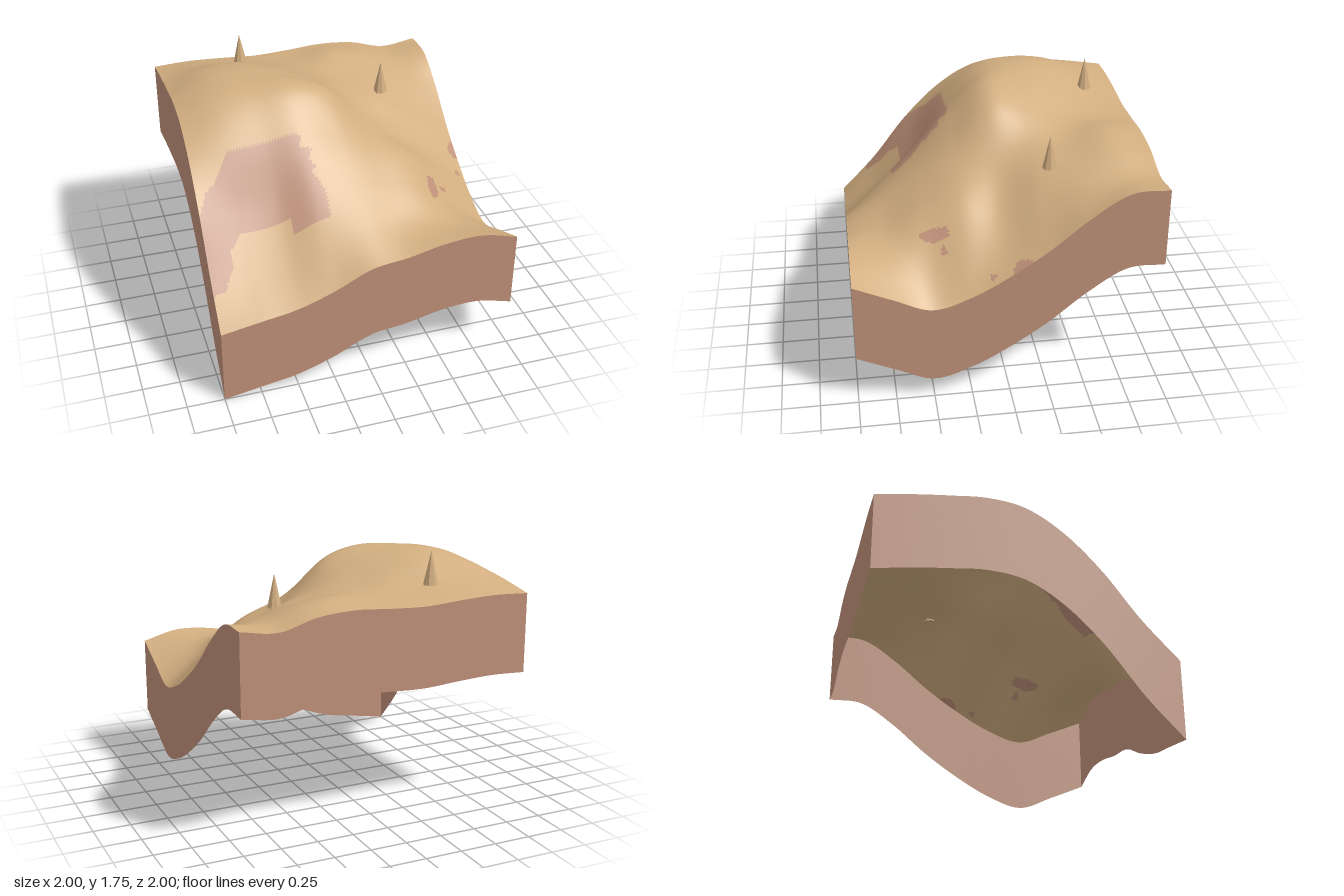
import * as THREE from 'three';

const DEPTH = 0.535; // height of the side walls
const N = 100;       // terrain cells per side

// Terrain cross-sections from back (z = -1) to front (z = 1), each running x = -1 to 1
const SECTIONS = [
  [1.465, 1.475, 1.465, 1.45, 1.46, 1.475, 1.455, 1.39, 1.42],
  [1.505, 1.55, 1.54, 1.50, 1.48, 1.515, 1.48, 1.395, 1.41],
  [1.535, 1.64, 1.66, 1.60, 1.51, 1.46, 1.42, 1.34, 1.255],
  [1.555, 1.66, 1.695, 1.665, 1.57, 1.43, 1.34, 1.20, 1.05],
  [1.515, 1.61, 1.65, 1.675, 1.60, 1.37, 1.19, 1.03, 0.88],
  [1.365, 1.41, 1.435, 1.47, 1.40, 1.28, 1.175, 0.97, 0.745],
  [1.12, 1.08, 1.10, 1.20, 1.19, 1.13, 1.06, 0.87, 0.675],
  [0.80, 0.80, 0.84, 0.95, 1.00, 0.97, 0.945, 0.885, 0.775],
  [0.535, 0.58, 0.625, 0.715, 0.835, 0.875, 0.93, 0.945, 0.885],
];

// Outlines of the clay patches, as [x, z]
const PATCHES = [
  [[-0.75, 0.25], [-0.28, 0.25], [-0.26, 0.28], [-0.29, 0.32], [-0.2, 0.33], [-0.24, 0.38],
    [-0.2, 0.41], [-0.24, 0.44], [-0.18, 0.48], [-0.2, 0.5], [-0.17, 0.52], [-0.17, 0.66],
    [-0.42, 0.66], [-0.42, 0.58], [-0.75, 0.58], [-0.84, 0.65], [-0.84, 0.71], [-0.92, 0.82],
    [-1.01, 0.83], [-1.01, 0.52], [-0.93, 0.4], [-0.88, 0.38]],
  [[0.58, 0.55], [0.585, 0.45], [0.6, 0.36], [0.66, 0.345], [0.66, 0.45], [0.62, 0.53]],
  [[0.69, 0.39], [0.74, 0.36], [0.74, 0.41], [0.69, 0.41]],
  [[0.95, -0.1], [1.01, -0.16], [1.01, 0], [0.98, -0.02], [0.94, -0.04]],
  [[0.92, 0.12], [0.95, 0.08], [0.97, 0.1], [0.96, 0.13]],
];

// Smooth curve through evenly spaced values, t from 0 to 1
function smooth(values, t) {
  const last = values.length - 1;
  const i = Math.min(Math.floor(t * last), last - 1);
  const f = t * last - i;
  const b = values[i], c = values[i + 1];
  const a = i > 0 ? values[i - 1] : 2 * b - c;
  const d = i + 2 <= last ? values[i + 2] : 2 * c - b;
  return b + 0.5 * f * (c - a + f * (2 * a - 5 * b + 4 * c - d + f * (3 * (b - c) + d - a)));
}

function heightAt(x, z) {
  return smooth(SECTIONS.map((row) => smooth(row, (x + 1) / 2)), (z + 1) / 2);
}

function inside(outline, x, z) {
  let hit = false;
  outline.forEach(([ax, az], i) => {
    const [bx, bz] = outline[(i + 1) % outline.length];
    if (az > z !== bz > z && x < ax + ((z - az) * (bx - ax)) / (bz - az)) hit = !hit;
  });
  return hit;
}

// Terrain sheet, its triangles sorted into sand and clay
function terrainGeometry() {
  const geometry = new THREE.PlaneGeometry(2, 2, N, N).rotateX(-Math.PI / 2);
  const p = geometry.attributes.position;
  for (let i = 0; i < p.count; i++) p.setY(i, heightAt(p.getX(i), p.getZ(i)));
  const sorted = [[], []];
  const index = geometry.index.array;
  for (let i = 0; i < index.length; i += 3) {
    const tri = [index[i], index[i + 1], index[i + 2]];
    const x = tri.reduce((sum, v) => sum + p.getX(v), 0) / 3;
    const z = tri.reduce((sum, v) => sum + p.getZ(v), 0) / 3;
    sorted[PATCHES.some((outline) => inside(outline, x, z)) ? 1 : 0].push(...tri);
  }
  geometry.setIndex(sorted.flat());
  geometry.clearGroups();
  geometry.addGroup(0, sorted[0].length, 0);
  geometry.addGroup(sorted[0].length, sorted[1].length, 1);
  geometry.computeVertexNormals();
  return geometry;
}

// Wall hanging below one terrain edge, from corner a to corner b
function wallGeometry([ax, az], [bx, bz]) {
  const geometry = new THREE.PlaneGeometry(2, 1, N, 1);
  const p = geometry.attributes.position;
  for (let i = 0; i < p.count; i++) {
    const t = (p.getX(i) + 1) / 2;
    const x = ax + (bx - ax) * t, z = az + (bz - az) * t;
    p.setXYZ(i, x, heightAt(x, z) - (p.getY(i) > 0 ? 0 : DEPTH), z);
  }
  geometry.computeVertexNormals();
  return geometry;
}

export function createModel() {
  const sand = new THREE.MeshStandardMaterial({ color: 0xd2ae80, side: THREE.DoubleSide });
  sand.name = 'sand';
  const clay = new THREE.MeshStandardMaterial({ color: 0xbe9078, side: THREE.DoubleSide });
  clay.name = 'clay';

  const model = new THREE.Group();
  const add = (name, geometry, material) => {
    const mesh = new THREE.Mesh(geometry, material);
    mesh.name = name;
    model.add(mesh);
    return mesh;
  };

  add('terrain', terrainGeometry(), [sand, clay]);

  // Side walls, open underneath
  const corners = [[-1, 1], [1, 1], [1, -1], [-1, -1]];
  ['frontWall', 'leftWall', 'backWall', 'rightWall'].forEach((name, i) => {
    add(name, wallGeometry(corners[i], corners[(i + 1) % 4]), clay);
  });

  // Faceted rock spires
  const spire = new THREE.ConeGeometry(0.05, 0.225, 8).toNonIndexed();
  spire.computeVertexNormals();
  add('backSpire', spire, sand).position.set(-0.42, 1.638, -0.75);
  add('sideSpire', spire, sand).position.set(0.5, 1.488, -0.33);

  return model;
}
